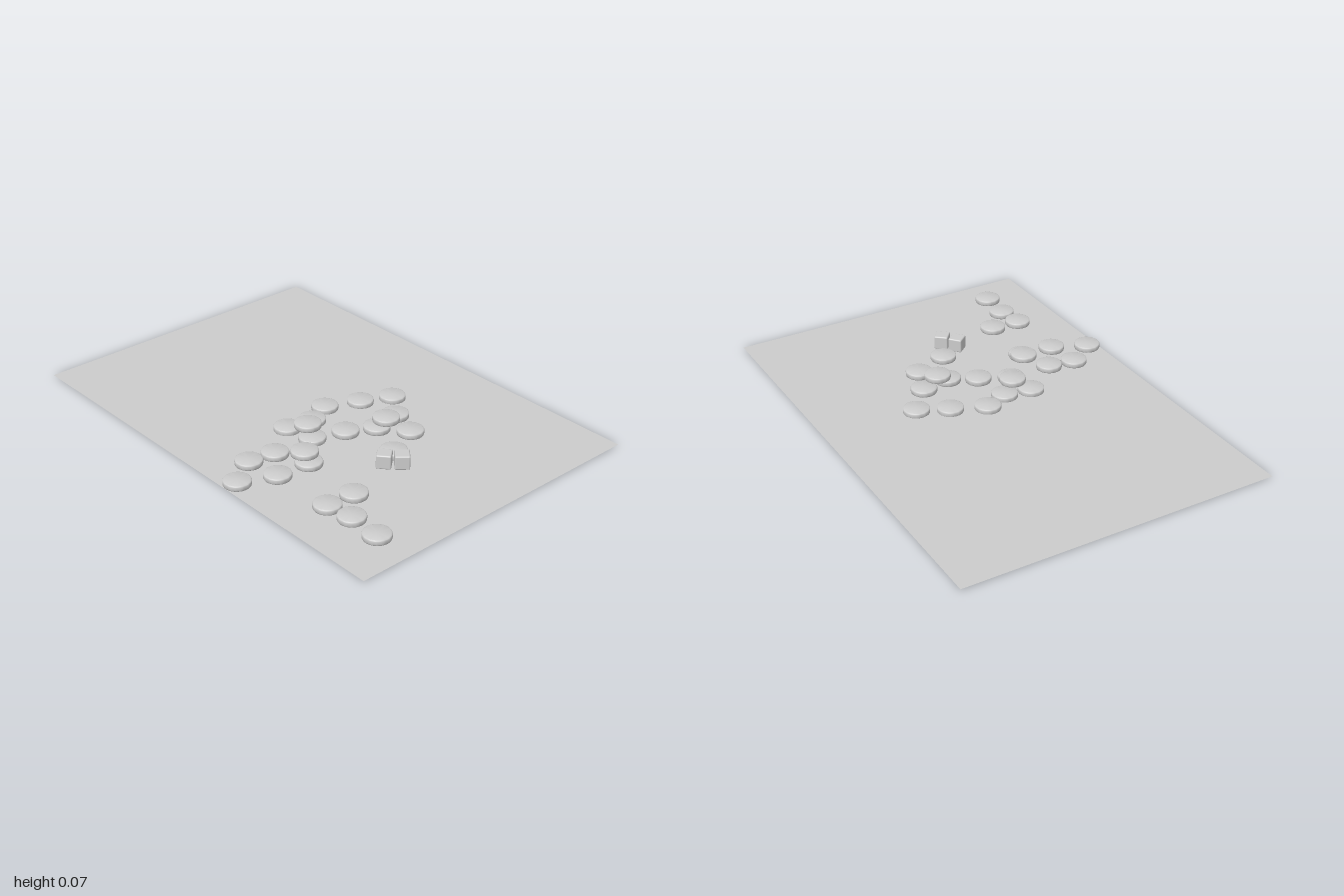
import * as THREE from 'three';
import { RoundedBoxGeometry } from 'three/addons/geometries/RoundedBoxGeometry.js';
import { toCreasedNormals } from 'three/addons/utils/BufferGeometryUtils.js';

const RADIUS = 0.057, THICK = 0.024;

// Round disc with softened rims, standing on y = 0
function chipGeometry() {
  const r = RADIUS, h = THICK, b = 0.005;
  const profile = [
    [0, 0], [r - b, 0], [r - b * 0.3, b * 0.3], [r, b],
    [r, h - b], [r - b * 0.3, h - b * 0.3], [r - b, h], [0, h],
  ].map(([x, y]) => new THREE.Vector2(x, y));
  return toCreasedNormals(new THREE.LatheGeometry(profile, 40), 0.9);
}

export function createModel() {
  const model = new THREE.Group();
  const grey = new THREE.MeshStandardMaterial({ color: 0xcccccc });
  const add = (name, geometry, x, y, z, material = grey) => {
    const mesh = new THREE.Mesh(geometry, material);
    mesh.name = name;
    mesh.position.set(x, y, z);
    model.add(mesh);
    return mesh;
  };

  // Thin playing mat
  const mat = grey.clone();
  mat.side = THREE.DoubleSide;
  add('playingMat', new THREE.PlaneGeometry(2, 1.39).rotateX(-Math.PI / 2), 0, 0.004, 0, mat);

  // Scattered chips as [x, z], grouped by the height of their underside
  const layers = [
    ['sunkenChip', 0, [
      [0.123, -0.277], [0.062, -0.149], [0, -0.004],
      [0.048, 0.106], [0.03, 0.226], [0.16, 0.204],
    ]],
    ['chip', 0.006, [
      [0.25, -0.174], [0.388, -0.126], [0.276, -0.044], [0.457, 0.033],
      [0.214, 0.072], [0.3, 0.343], [0.156, 0.396], [0.138, 0.514],
      [0.29, 0.493], [0.226, 0.641], [0.58, 0.359], [0.575, 0.488],
      [0.693, 0.472], [0.84, 0.482],
    ]],
    ['stackedChip', 0.028, [[0.1, 0.176], [0.255, 0.326]]],
    ['stackedChip', 0.033, [[0.281, -0.091]]],
  ];
  const chip = chipGeometry();
  for (const [name, y, spots] of layers) {
    for (const [x, z] of spots) add(name, chip, x, y, z);
  }

  // Pair of dice, turned on their corners
  const size = 0.061;
  const die = new RoundedBoxGeometry(size, size, size, 3, 0.006);
  add('die', die, 0.553, 0.041, 0.08).rotation.y = 0.86;
  add('die', die, 0.501, 0.039, 0.127).rotation.y = 0.7;

  return model;
}
